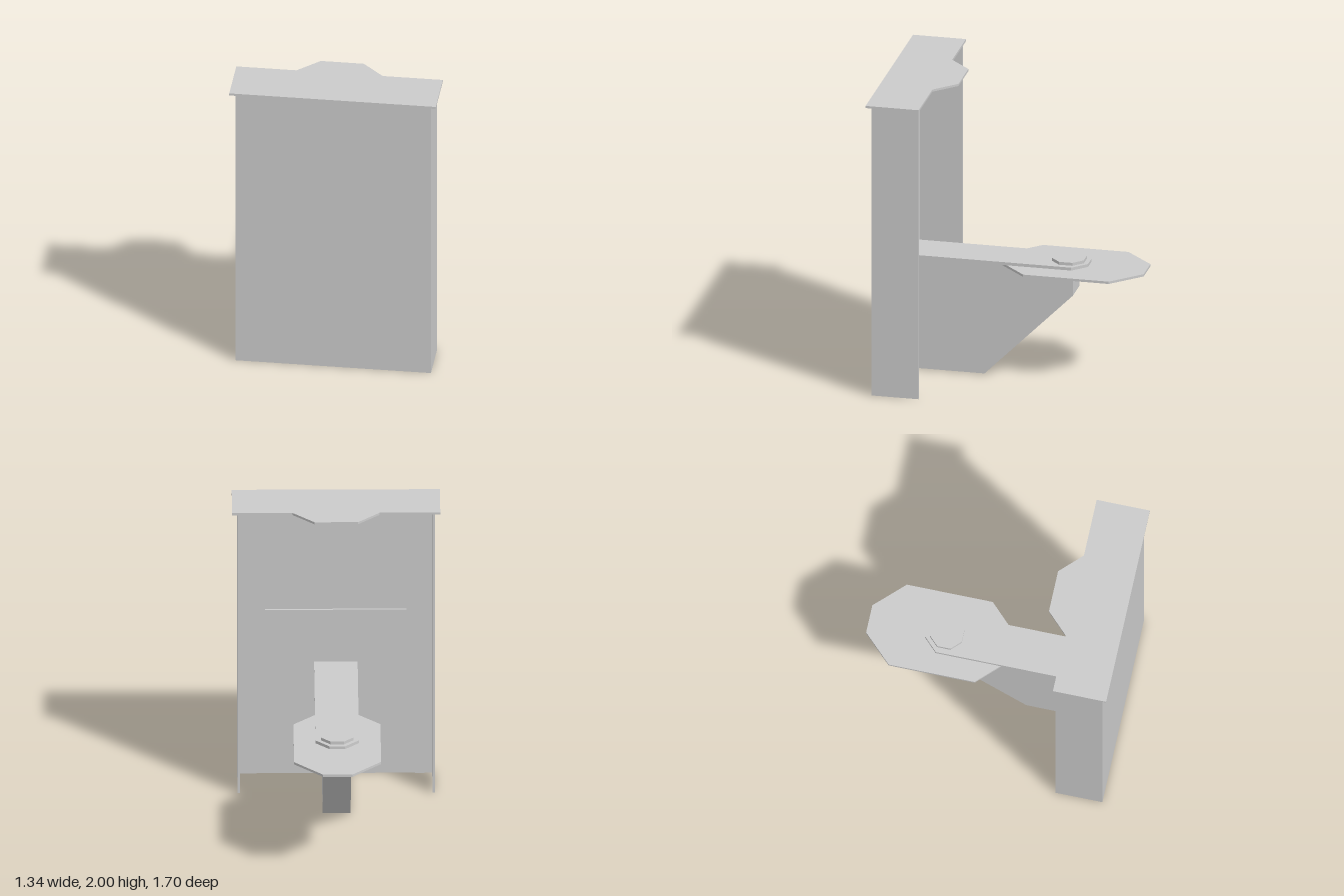
import * as THREE from 'three';

const material = new THREE.MeshStandardMaterial({ color: 0xcccccc, flatShading: true });

const toShape = (pts) => new THREE.Shape(pts.map(([a, b]) => new THREE.Vector2(a, b)));
const extrude = (shape, depth) => new THREE.ExtrudeGeometry(shape, { depth, bevelEnabled: false });

// Mirrors half an outline (x > 0) to the other side
const mirrored = (half) => [...half, ...half.slice().reverse().map(([x, z]) => [-x, z])];

// Horizontal plate from an (x, z) outline, between two heights
function plateGeometry(half, bottom, top) {
  return extrude(toShape(mirrored(half)), top - bottom).rotateX(Math.PI / 2).translate(0, top, 0);
}

// Solid with a (z, y) side profile, centred across x
function profileGeometry(profile, width) {
  return extrude(toShape(profile), width).rotateY(-Math.PI / 2).translate(width / 2, 0, 0);
}

function boxGeometry(x0, x1, y0, y1, z0, z1) {
  return new THREE.BoxGeometry(x1 - x0, y1 - y0, z1 - z0)
    .translate((x0 + x1) / 2, (y0 + y1) / 2, (z0 + z1) / 2);
}

// Eight-sided disc with flats facing the axes
function octagonGeometry(apothem, y0, y1, z) {
  const radius = apothem / Math.cos(Math.PI / 8);
  return new THREE.CylinderGeometry(radius, radius, y1 - y0, 8)
    .rotateY(Math.PI / 8).translate(0, (y0 + y1) / 2, z);
}

export function createModel() {
  const model = new THREE.Group();
  const add = (name, geometry) => {
    const mesh = new THREE.Mesh(geometry, material);
    mesh.name = name;
    model.add(mesh);
  };

  // Front sheet and side walls of the cabinet
  add('frontPanel', boxGeometry(-0.635, 0.635, 0, 1.985, 0.808, 0.818));
  add('leftWall', boxGeometry(0.62, 0.635, 0, 1.985, 0.51, 0.808));
  add('rightWall', boxGeometry(-0.635, -0.62, 0, 1.985, 0.51, 0.808));

  // Inner lining with a shallow window recess and a notch along the bottom
  const lining = toShape(mirrored([[0.51, 0.13], [0.51, 0.006], [0.62, 0.006], [0.62, 1.985]]));
  lining.holes.push(new THREE.Path(
    [[-0.455, 1.17], [-0.455, 1.68], [0.455, 1.68], [0.455, 1.17]].map(([x, y]) => new THREE.Vector2(x, y))));
  add('innerLining', extrude(lining, 0.015).translate(0, 0, 0.793));

  // Sloping fillet under the top plate
  add('topFillet', profileGeometry([[0.8, 1.85], [0.8, 1.985], [0.66, 1.985]], 1.24));

  // Top plate with a tapered tab at the back
  add('topPlate', plateGeometry(
    [[0.67, 0.85], [0.67, 0.5], [0.28, 0.5], [0.14, 0.36]], 1.985, 2));

  // Tapered support bracket and the arm on top of it
  add('supportBracket', profileGeometry(
    [[0.8, 0.005], [0.8, 0.78], [-0.385, 0.78], [-0.385, 0.59], [0.2, 0.005]], 0.18));
  add('armPlate', plateGeometry(
    [[0.14, 0.8], [0.14, -0.385], [0.05, -0.475]], 0.78, 0.8));

  // Seat with clipped corners, held by a pivot bolt
  add('seat', plateGeometry(
    [[0.09, 0.09], [0.28, -0.1], [0.28, -0.665], [0.095, -0.853]], 0.763, 0.779));
  add('pivotHead', octagonGeometry(0.105, 0.8, 0.82, -0.34));
  add('pivotNut', octagonGeometry(0.09, 0.742, 0.764, -0.34));

  return model;
}
